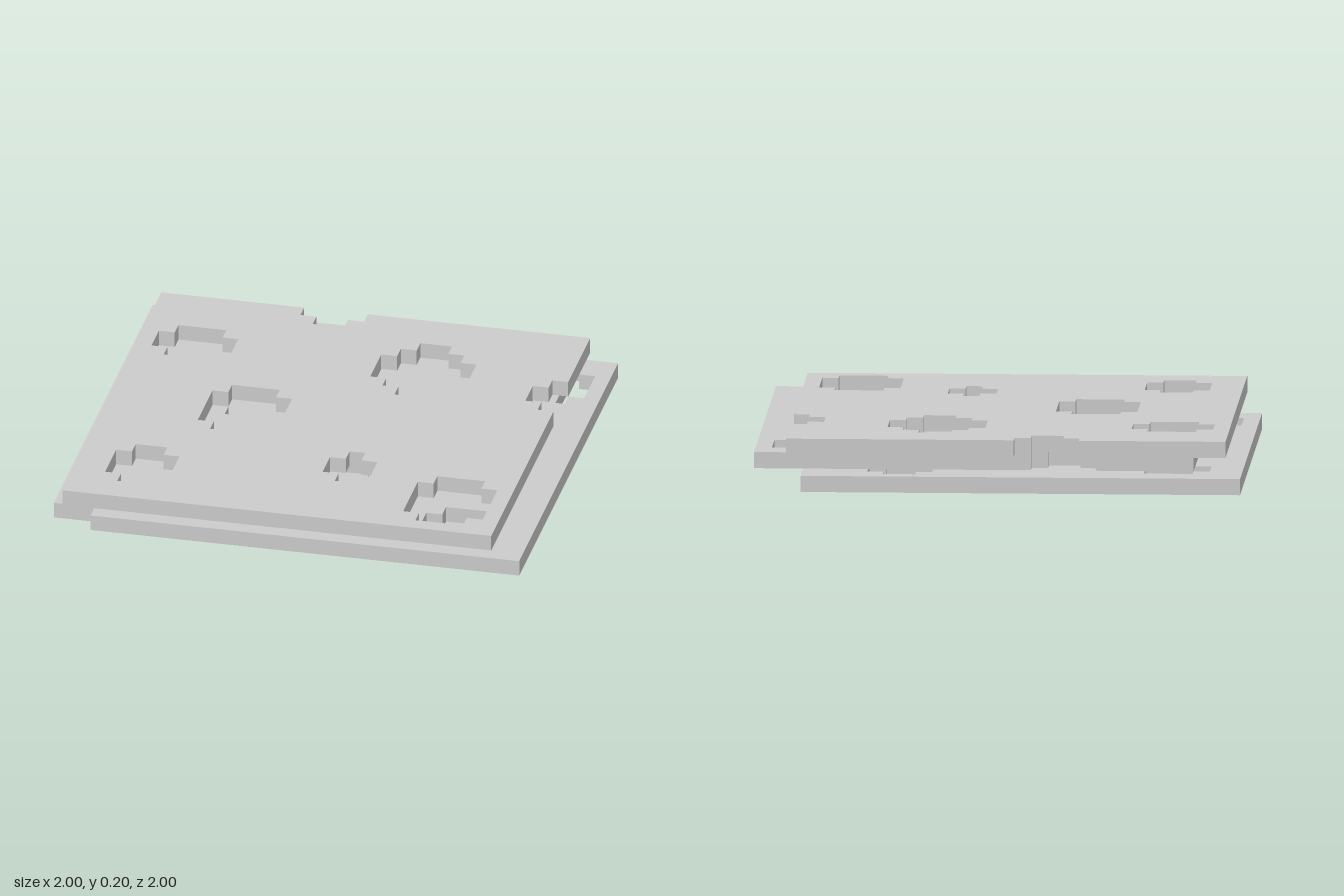
import * as THREE from 'three';

const U = 1 / 15;  // one grid cell
const SIZE = 27;   // cells along a slab's side

// Stepped round outline: x and z hold the ascending step positions of the two axes.
function steppedHole(x, z) {
  const n = x.length / 2, last = x.length - 1;
  const corner = [];
  for (let i = 0; i < n; i++) {
    if (i > 0) corner.push([i, n - i]);
    corner.push([i, n - 1 - i]);
  }
  const flipped = [...corner].reverse();
  const steps = [
    ...corner,
    ...flipped.map(([i, j]) => [last - i, j]),
    ...corner.map(([i, j]) => [last - i, last - j]),
    ...flipped.map(([i, j]) => [i, last - j]),
  ];
  return steps.map(([i, j]) => [x[i], z[j]]);
}

const toPoints = (list) =>
  list.map(([x, z]) => new THREE.Vector2((x - SIZE / 2) * U, (z - SIZE / 2) * U));

function slabGeometry() {
  // Square outline with a stepped notch in the back edge and one in the right edge
  const shape = new THREE.Shape(toPoints([
    [0, 0], [9, 0], [9, 1], [10, 1], [10, 2], [12, 2], [12, 1], [13, 1], [13, 0],
    [27, 0], [27, 6], [26, 6], [26, 7], [25, 7], [25, 9], [26, 9], [26, 10], [27, 10],
    [27, 27], [0, 27],
  ]));
  // Holes through the slab
  const holes = [
    [[1, 2, 5, 6], [4, 5, 7, 8]],
    [[15, 16, 17, 19, 20, 21], [3, 4, 5, 8, 9, 10]],
    [[6, 7, 10, 11], [11, 12, 16, 17]],
    [[15, 16, 17, 18], [18, 19, 21, 22]],
    [[2, 3, 5, 6], [20, 21, 24, 25]],
    [[21, 22, 25, 26], [20, 21, 25, 26]],
  ];
  for (const [x, z] of holes) shape.holes.push(new THREE.Path(toPoints(steppedHole(x, z))));
  const geometry = new THREE.ExtrudeGeometry(shape, { depth: U, bevelEnabled: false });
  return geometry.rotateX(Math.PI / 2); // lies flat, upper face at y = 0
}

export function createModel() {
  const group = new THREE.Group();
  group.name = 'stackedSlices';
  const geometry = slabGeometry();
  const material = new THREE.MeshStandardMaterial({ color: 0xcccccc, flatShading: true });

  // The same slice three times, each turned and shifted
  const slices = [
    { name: 'bottomSlice', x: -1.5, z: -1.5, turn: -Math.PI / 2 },
    { name: 'middleSlice', x: 1.5, z: 1.5, turn: Math.PI / 2 },
    { name: 'topSlice', x: -0.5, z: 0.5, turn: 0 },
  ];
  slices.forEach(({ name, x, z, turn }, i) => {
    const slice = new THREE.Mesh(geometry, material);
    slice.name = name;
    slice.position.set(x * U, (i + 1) * U, z * U);
    slice.rotation.y = turn;
    group.add(slice);
  });
  return group;
}
